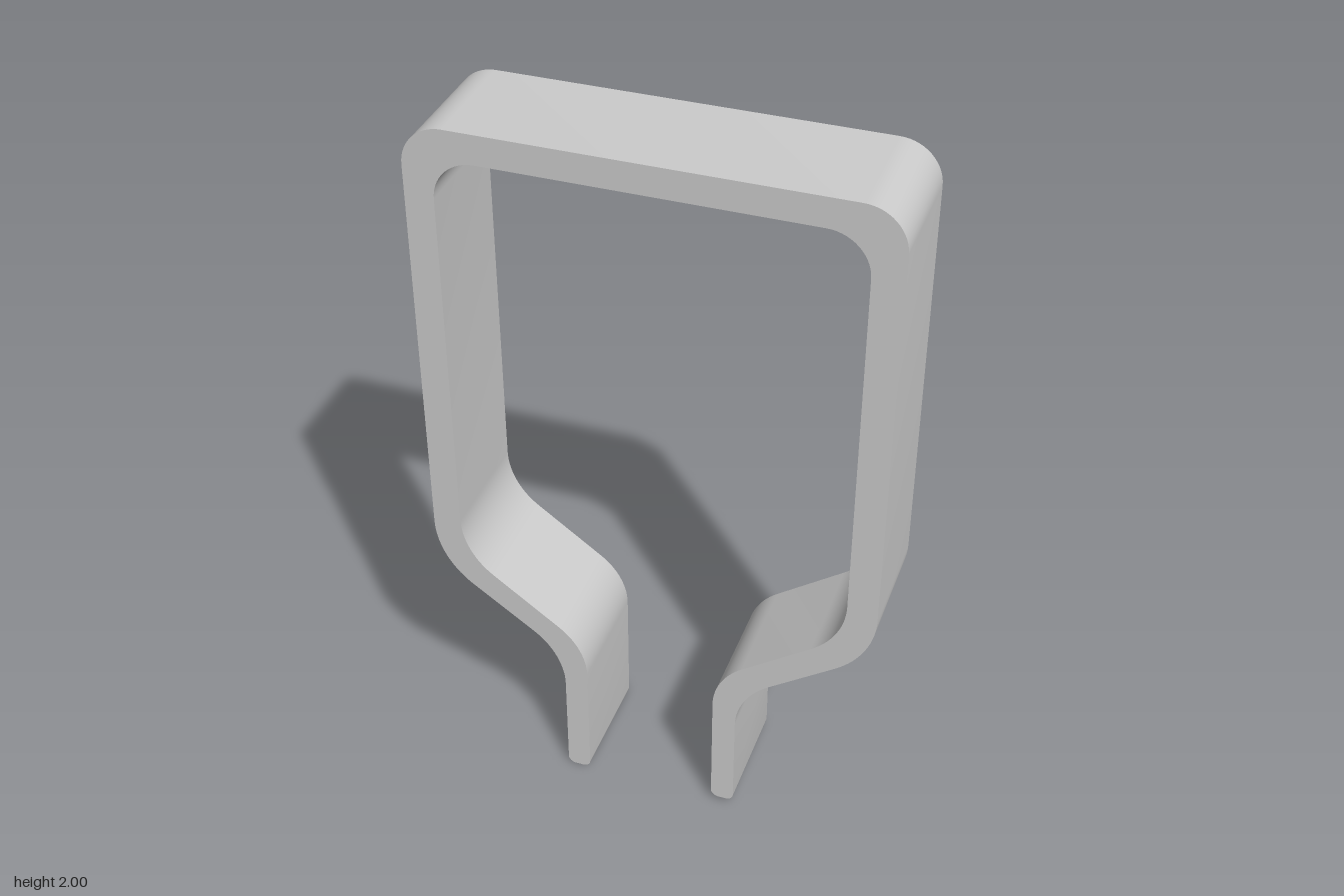
import * as THREE from 'three';
import { toCreasedNormals } from 'three/addons/utils/BufferGeometryUtils.js';

// Closed outline from corners [x, y, radius], each rounded by a true arc
function roundedOutline(corners, steps = 14) {
  const points = [];
  const n = corners.length;
  const origin = new THREE.Vector2();
  corners.forEach(([x, y, r], i) => {
    const p = new THREE.Vector2(x, y);
    const [ax, ay] = corners[(i + n - 1) % n];
    const [bx, by] = corners[(i + 1) % n];
    const u = new THREE.Vector2(ax, ay).sub(p).normalize();
    const v = new THREE.Vector2(bx, by).sub(p).normalize();
    const half = Math.acos(u.dot(v)) / 2;
    const centre = u.clone().add(v).normalize().multiplyScalar(r / Math.sin(half)).add(p);
    const start = u.clone().multiplyScalar(r / Math.tan(half)).add(p).sub(centre);
    const turn = Math.sign(v.cross(u)) * (Math.PI - 2 * half);
    for (let k = 0; k <= steps; k++) {
      points.push(start.clone().rotateAround(origin, turn * k / steps).add(centre));
    }
  });
  return new THREE.Shape(points);
}

export function createModel() {
  const group = new THREE.Group();
  group.name = 'springClip';
  const depth = 0.324;

  // Bent strip, counter-clockwise: left leg end, inner face, right leg end, outer face
  const outline = roundedOutline([
    [-0.253, 0, 0.022],
    [-0.187, 0, 0.022],
    [-0.187, 0.46, 0.19],
    [-0.54, 0.715, 0.21],
    [-0.54, 1.92, 0.11],
    [0.535, 1.92, 0.11],
    [0.535, 0.718, 0.21],
    [0.18, 0.467, 0.19],
    [0.18, 0.012, 0.022],
    [0.245, 0.012, 0.022],
    [0.245, 0.419, 0.21],
    [0.616, 0.677, 0.24],
    [0.616, 2, 0.11],
    [-0.618, 2, 0.11],
    [-0.618, 0.675, 0.24],
    [-0.253, 0.42, 0.21],
  ]);

  const geometry = new THREE.ExtrudeGeometry(outline, { depth, bevelEnabled: false, steps: 1 });
  geometry.translate(0, 0, -depth / 2);

  const strip = new THREE.Mesh(
    toCreasedNormals(geometry, Math.PI / 6),
    new THREE.MeshStandardMaterial({ color: 0xcccccc }),
  );
  strip.name = 'bentStrip';
  group.add(strip);
  return group;
}
